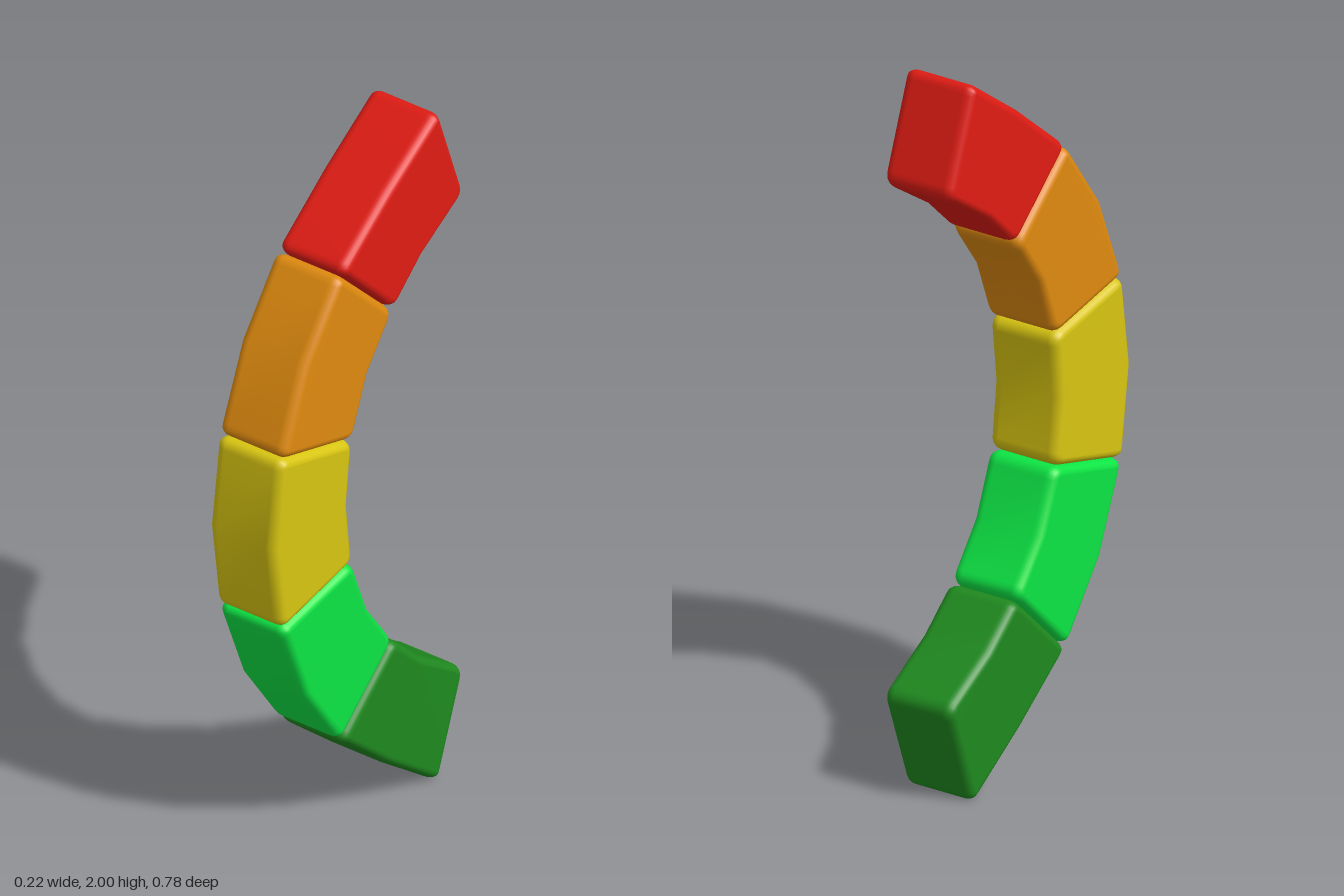
import * as THREE from 'three';
import { mergeVertices } from 'three/addons/utils/BufferGeometryUtils.js';

// Half-block stations from the middle of the arc to its upper tip: outer z, outer y, inner z, inner y
const STATIONS = [
  [0.39, 1.0, 0.08, 1.0],
  [0.356, 1.257, 0.06, 1.184],
  [0.26, 1.5, -0.005, 1.355],
  [0.113, 1.705, -0.108, 1.496],
  [-0.085, 1.865, -0.225, 1.605],
  [-0.294, 2.013, -0.4, 1.717],
];
const WIDTH = 0.22, BEVEL = 0.03, INSET = 0.022, ROUND = 0.035;

// Station i from -5 (lower tip) to 5 (upper tip), mirrored about y = 1
function station(i) {
  const [oz, oy, iz, iy] = STATIONS[Math.abs(i)];
  const y = (v) => (i < 0 ? 2 - v : v);
  return { outer: new THREE.Vector2(-oz, y(oy)), inner: new THREE.Vector2(-iz, y(iy)) };
}

// Side outline of a block: four rounded corners, with a bend halfway along
function blockShape(mid) {
  const [a, b, c] = [mid - 1, mid, mid + 1].map(station);
  const pts = [a.outer, b.outer, c.outer, c.inner, b.inner, a.inner];
  const shape = new THREE.Shape();
  shape.moveTo(b.outer.x, b.outer.y);
  for (let k = 2; k <= 6; k++) {
    const p = pts[k % 6];
    if (k === 4) {
      shape.lineTo(p.x, p.y);
      continue;
    }
    const toward = (q) => q.clone().sub(p).setLength(ROUND).add(p);
    const from = toward(pts[(k + 5) % 6]), to = toward(pts[(k + 1) % 6]);
    shape.lineTo(from.x, from.y);
    shape.quadraticCurveTo(p.x, p.y, to.x, to.y);
  }
  shape.closePath();
  return shape;
}

// Soft-edged block with smooth normals
function blockGeometry(mid) {
  const depth = WIDTH - 2 * BEVEL;
  let geo = new THREE.ExtrudeGeometry(blockShape(mid), {
    depth, curveSegments: 5, bevelEnabled: true, bevelSegments: 5,
    bevelThickness: BEVEL, bevelSize: INSET, bevelOffset: -INSET,
  });
  geo.translate(0, 0, -depth / 2);
  geo.rotateY(Math.PI / 2);
  geo.deleteAttribute('uv');
  geo.deleteAttribute('normal');
  geo = mergeVertices(geo, 1e-4);
  geo.computeVertexNormals();
  return geo;
}

export function createModel() {
  const group = new THREE.Group();
  group.name = 'curvedGauge';

  // Five coloured blocks from bottom to top
  const blocks = [
    ['darkGreenBlock', 0x1f8a1f],
    ['brightGreenBlock', 0x0de544],
    ['yellowBlock', 0xd8c511],
    ['orangeBlock', 0xdf8a0f],
    ['redBlock', 0xe01c14],
  ];
  blocks.forEach(([name, color], i) => {
    const mesh = new THREE.Mesh(blockGeometry(2 * i - 4), new THREE.MeshStandardMaterial({ color }));
    mesh.name = name;
    group.add(mesh);
  });
  return group;
}
